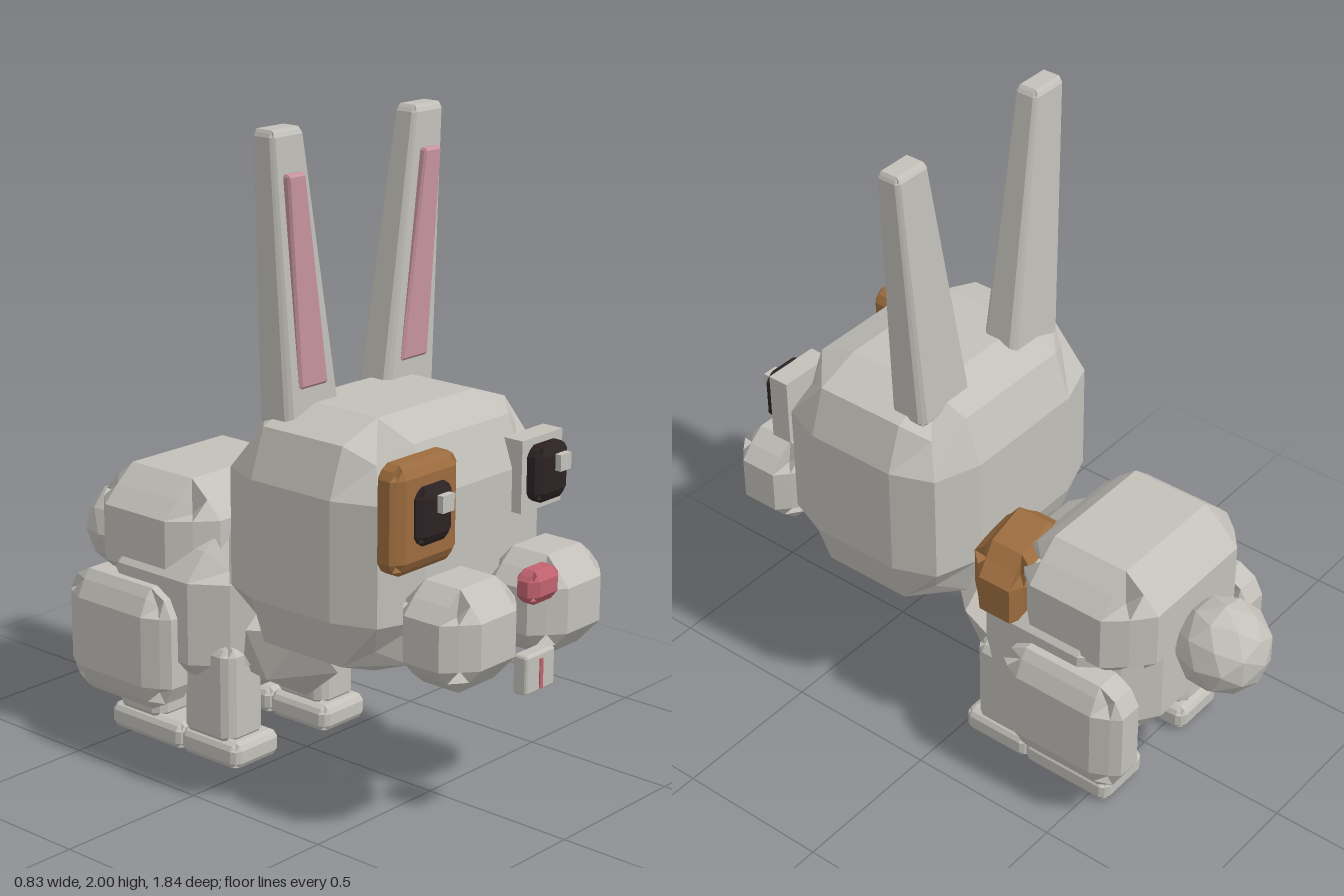
import * as THREE from 'three';
import { ConvexGeometry } from 'three/addons/geometries/ConvexGeometry.js';

const mat = (name, color) => {
  const m = new THREE.MeshStandardMaterial({ color, flatShading: true });
  m.name = name;
  return m;
};

// Faceted block between two corners: inner grid lines sit b from the sides,
// and edges and corners are pulled inwards by "pull".
function block([x0, x1], [y0, y1], [z0, z1], b, pull, rule) {
  const half = [(x1 - x0) / 2, (y1 - y0) / 2, (z1 - z0) / 2];
  const mid = [(x0 + x1) / 2, (y0 + y1) / 2, (z0 + z1) / 2];
  const geo = new THREE.BoxGeometry(2, 2, 2, 3, 3, 3);
  const pos = geo.attributes.position;
  const v = new THREE.Vector3();
  for (let i = 0; i < pos.count; i++) {
    const p = [pos.getX(i), pos.getY(i), pos.getZ(i)];
    const ends = p.filter((c) => Math.abs(c) > 0.9).length;
    const q = p.map((c, a) => {
      const h = half[a];
      const size = Math.abs(c) > 0.9
        ? h - Math.min(pull, h * 0.3) * (ends - 1)
        : h - Math.min(b, h * 0.55);
      return mid[a] + Math.sign(c) * size;
    });
    v.set(...q);
    if (rule) rule(v);
    pos.setXYZ(i, v.x, v.y, v.z);
  }
  geo.computeVertexNormals();
  return geo;
}

export function createModel() {
  const fur = mat('grey fur', 0xc2c0b9);
  const brown = mat('brown fur', 0x9c6c3e);
  const black = mat('eye black', 0x2c2224);
  const rose = mat('nose pink', 0xc0626e);
  const pink = mat('inner ear pink', 0xc6939d);

  const group = new THREE.Group();
  const add = (name, geo, material) => {
    const mesh = new THREE.Mesh(geo, material);
    mesh.name = name;
    group.add(mesh);
    return mesh;
  };
  // Range on the x axis, mirrored to the chosen side
  const side = (s, a, b) => (s > 0 ? [a, b] : [-b, -a]);

  // Head, body and rump
  add('head', block([-0.415, 0.415], [0.44, 1.2], [-0.02, 0.65], 0.2, 0.052), fur);
  add('body', block([-0.335, 0.335], [0.16, 0.74], [-0.66, 0.0], 0.19, 0.075), fur);
  add('rump', block([-0.32, 0.32], [0.46, 0.86], [-0.67, -0.17], 0.12, 0.055), fur);

  // Pointed chest fluff
  const chest = [[0, 0.28, 0.13], [0, 0.17, 0], [0, 0.22, -0.06]];
  for (const s of [-1, 1]) {
    chest.push([s * 0.15, 0.45, 0.13], [s * 0.19, 0.28, 0.01],
      [s * 0.27, 0.46, 0], [s * 0.2, 0.52, 0], [s * 0.2, 0.3, -0.08]);
  }
  add('chestFluff', new ConvexGeometry(chest.map((p) => new THREE.Vector3(...p))), fur);

  // Tail
  add('tail', new THREE.IcosahedronGeometry(0.15, 1), fur).position.set(0, 0.56, -0.77);

  // Brown patch on the left shoulder, swept back towards the side
  add('shoulderPatch', block([0, 0.352], [0.52, 0.79], [-0.25, 0], 0.09, 0.045, (v) => {
    v.z -= Math.max(0, v.x - 0.12) * 0.24;
  }), brown);

  for (const s of [-1, 1]) {
    const label = s > 0 ? 'left' : 'right';

    // Ears taper and lean outwards towards the tip
    const earRule = (v) => {
      const t = (v.y - 1.13) / 0.87;
      v.x = s * (0.208 + 0.098 * t) + v.x * (1 - 0.43 * t);
      v.z = 0.167 + 0.003 * t + v.z * (1 - 0.38 * t);
    };
    add(label + 'Ear', block([-0.115, 0.115], [1.13, 2], [-0.065, 0.065], 0.02, 0.009, earRule), fur);
    add(label + 'InnerEar', block([-0.06, 0.06], [1.25, 1.875], [0.19, 0.237], 0.008, 0.004, (v) => {
      const t = (v.y - 1.25) / 0.625;
      v.x = s * (0.222 + 0.074 * t) + v.x * (1 - 0.42 * t);
    }), pink);

    // Cheek
    add(label + 'Cheek', block(side(s, 0.03, 0.365), [0.485, 0.79], [0.62, 0.9], 0.09, 0.04), fur);

    // Eye with highlight
    add(label + 'Eye', block(side(s, 0.19, 0.342), [0.9, 1.07], [0.67, 0.735], 0.03, 0.012), black);
    const hx = s > 0 ? 0.265 : -0.27;
    add(label + 'EyeHighlight', new THREE.BoxGeometry(0.05, 0.05, 0.05), fur)
      .position.set(hx + 0.023, 1.017, 0.73);

    // Legs, thigh and feet
    add(label + 'FrontLeg', block(side(s, 0.125, 0.295), [0.06, 0.39], [-0.26, -0.05], 0.035, 0.014), fur);
    add(label + 'BackLeg', block(side(s, 0.125, 0.295), [0.06, 0.3], [-0.55, -0.35], 0.035, 0.014), fur);
    add(label + 'Thigh', block(side(s, 0.235, 0.41), [0.15, 0.545], [-0.67, -0.225], 0.085, 0.03), fur);
    add(label + 'FrontFoot', block(side(s, 0.1, 0.302), [0, 0.088], [-0.26, -0.015], 0.025, 0.009), fur);
    add(label + 'BackFoot', block(side(s, 0.1, 0.302), [0, 0.088], [-0.57, -0.25], 0.025, 0.009), fur);
  }

  // Patches around the eyes
  add('rightEyePatch', block([-0.415, -0.13], [0.82, 1.14], [0.615, 0.71], 0.04, 0.015), brown);
  add('leftEyePatch', new THREE.BoxGeometry(0.19, 0.22, 0.07), fur).position.set(0.265, 0.98, 0.65);

  // Nose and teeth
  add('nose', block([-0.07, 0.07], [0.7, 0.8], [0.84, 0.92], 0.03, 0.013), rose);
  add('teeth', block([-0.067, 0.067], [0.43, 0.55], [0.85, 0.9], 0.008, 0.003), fur);
  add('teethGap', new THREE.BoxGeometry(0.015, 0.09, 0.006), rose).position.set(0, 0.485, 0.9);

  return group;
}
